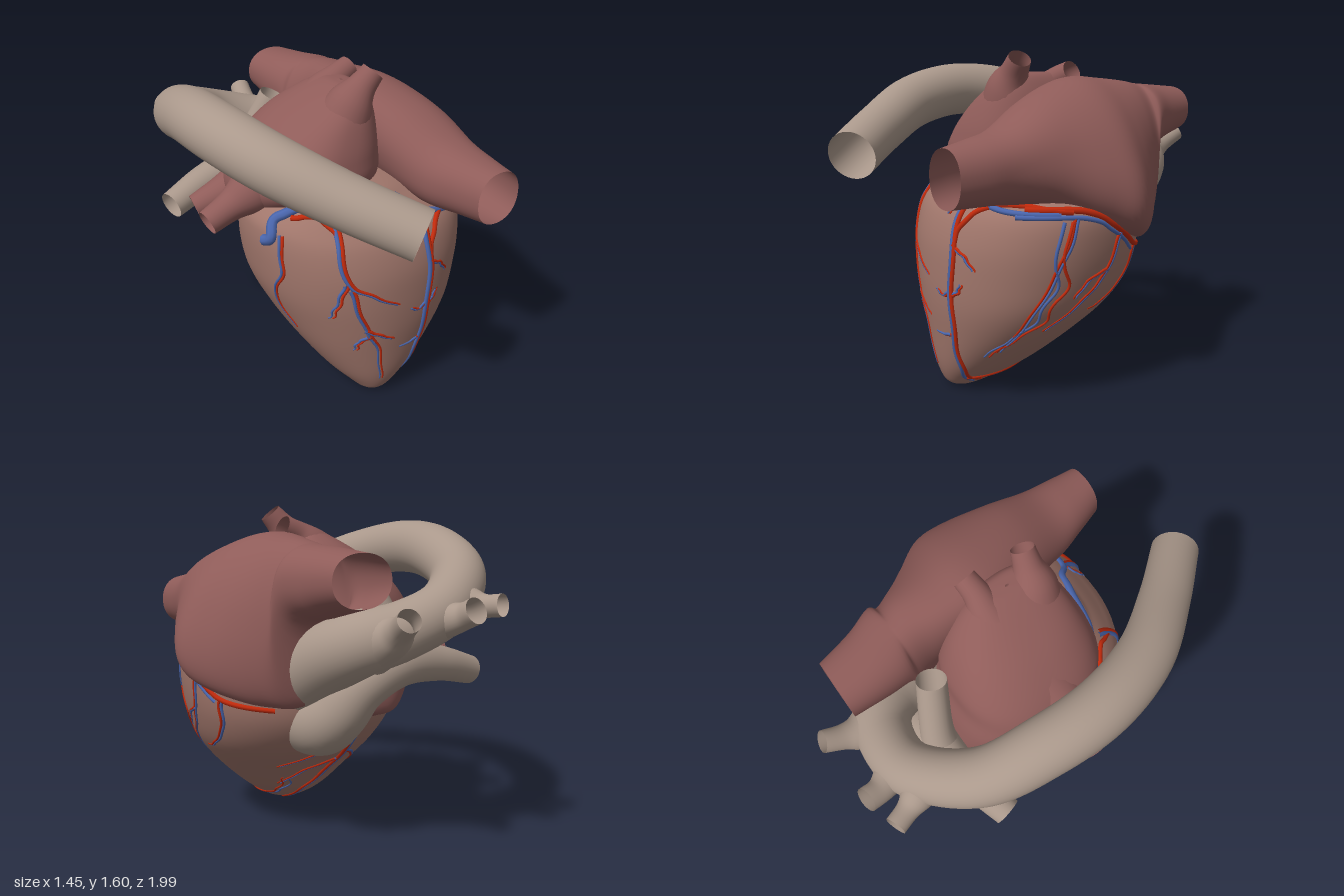
import * as THREE from 'three';

const V = (x, y, z) => new THREE.Vector3(x, y, z);
const mat = (color) => new THREE.MeshStandardMaterial({ color, side: THREE.DoubleSide });
const MUSCLE = mat(0xa0766b), ATRIUM = mat(0x8f5c59), VESSEL = mat(0xaa988b);
const RED = mat(0xc22a0c), BLUE = mat(0x4a66ad);

// Smooth skin over rings { c, u, v }: centre and two half-axes; power > 2 squares the ring
function skin(name, rings, material, sides, power = 2) {
  const pos = [], index = [];
  const bend = (a) => Math.sign(a) * Math.abs(a) ** (2 / power);
  for (const { c, u, v } of rings) {
    for (let j = 0; j < sides; j++) {
      const a = (j / sides) * Math.PI * 2;
      const p = c.clone().addScaledVector(u, bend(Math.cos(a))).addScaledVector(v, bend(Math.sin(a)));
      pos.push(p.x, p.y, p.z);
    }
  }
  for (let i = 0; i < rings.length - 1; i++) {
    for (let j = 0; j < sides; j++) {
      const k = (j + 1) % sides, a = i * sides, b = a + sides;
      index.push(a + j, b + j, a + k, a + k, b + j, b + k);
    }
  }
  const geo = new THREE.BufferGeometry();
  geo.setAttribute('position', new THREE.Float32BufferAttribute(pos, 3));
  geo.setIndex(index);
  geo.computeVertexNormals();
  const mesh = new THREE.Mesh(geo, material);
  mesh.name = name;
  return mesh;
}

// Chambers: sections are smoothed along their length
function loft(name, sections, material, power) {
  const curve = (key) => new THREE.CatmullRomCurve3(sections.map((s) => s[key]), false, 'catmullrom', 0.5);
  const c = curve('c'), u = curve('u'), v = curve('v'), n = sections.length * 5;
  const rings = Array.from({ length: n + 1 }, (_, i) => ({
    c: c.getPoint(i / n), u: u.getPoint(i / n), v: v.getPoint(i / n),
  }));
  return skin(name, rings, material, 64, power);
}

// Horizontal section from its limits
const level = ([y, x0, x1, z0, z1]) => ({
  c: V((x0 + x1) / 2, y, (z0 + z1) / 2), u: V((x1 - x0) / 2, 0, 0), v: V(0, 0, (z1 - z0) / 2),
});
// Upright section from its limits, leaning outwards at the bottom
const upright = ([z, x0, x1, y0, y1, lean]) => ({
  c: V((x0 + x1) / 2, (y0 + y1) / 2, z), u: V((x1 - x0) / 2, 0, 0), v: V(-lean, (y1 - y0) / 2, 0),
});

// Tube through points [x, y, z, radius]
function tube(name, pts, material, n = 24, sides = 24) {
  const path = new THREE.CatmullRomCurve3(pts.map((p) => V(p[0], p[1], p[2])), false, 'catmullrom', 0.5);
  const width = new THREE.CatmullRomCurve3(pts.map((p) => V(p[3], 0, 0)), false, 'catmullrom', 0.5);
  const f = path.computeFrenetFrames(n);
  const rings = Array.from({ length: n + 1 }, (_, i) => {
    const r = width.getPoint(path.getUtoTmapping(i / n)).x;
    return {
      c: path.getPointAt(i / n),
      u: f.binormals[i].clone().multiplyScalar(r),
      v: f.normals[i].clone().multiplyScalar(r),
    };
  });
  return skin(name, rings, material, sides);
}

export function createModel() {
  const heart = new THREE.Group();
  heart.name = 'heart';

  // Ventricles
  const ventricles = loft('ventricles', [
    [0, -0.015, 0.015, 0.43, 0.46], [0.015, -0.07, 0.07, 0.35, 0.52], [0.06, -0.12, 0.14, 0.22, 0.555],
    [0.15, -0.2, 0.26, 0.07, 0.585], [0.3, -0.3, 0.42, -0.1, 0.61], [0.45, -0.38, 0.54, -0.27, 0.63],
    [0.6, -0.44, 0.6, -0.37, 0.635], [0.75, -0.465, 0.63, -0.39, 0.625], [0.88, -0.47, 0.63, -0.36, 0.585],
    [0.96, -0.45, 0.58, -0.3, 0.52], [1.03, -0.37, 0.43, -0.25, 0.45], [1.08, -0.24, 0.22, -0.15, 0.38],
    [1.1, -0.05, 0.02, 0, 0.15],
  ].map(level), MUSCLE, 2.15);
  heart.add(ventricles);

  // Atria
  heart.add(loft('leftAtrium', [
    [0.79, 0.3, 0.54, 0.965, 1.22, 0], [0.65, 0.25, 0.55, 0.96, 1.245, 0], [0.5, 0.2, 0.56, 0.95, 1.28, 0],
    [0.3, 0.15, 0.6, 0.93, 1.38, 0.05], [0.1, 0.13, 0.65, 0.86, 1.45, 0.13],
    [-0.05, 0.14, 0.66, 0.79, 1.48, 0.17], [-0.2, 0.12, 0.59, 0.73, 1.47, 0.13],
    [-0.34, 0.09, 0.5, 0.7, 1.455, 0.06], [-0.43, 0.05, 0.44, 0.74, 1.44, 0.02],
    [-0.47, 0.04, 0.42, 1.06, 1.435, 0], [-0.6, 0.03, 0.36, 1.13, 1.425, 0], [-0.78, 0.03, 0.31, 1.18, 1.41, 0],
  ].map(upright), ATRIUM, 2.2));
  heart.add(loft('rightAtrium', [
    [0.61, -0.15, -0.13, -0.36, -0.34], [0.65, -0.26, -0.04, -0.43, -0.24], [0.78, -0.36, 0.08, -0.44, -0.03],
    [0.95, -0.45, 0.2, -0.41, 0.2], [1.08, -0.46, 0.22, -0.37, 0.35], [1.2, -0.4, 0.22, -0.35, 0.35],
    [1.33, -0.27, 0.2, -0.28, 0.31], [1.43, -0.12, 0.17, -0.18, 0.26], [1.49, 0, 0.13, -0.08, 0.2],
    [1.5, 0.06, 0.07, 0.05, 0.07],
  ].map(level), ATRIUM, 2.4));

  // Veins entering the right atrium
  [
    [[0, 1.33, 0.16, 0.14], [0.04, 1.43, 0.18, 0.11], [0.09, 1.5, 0.19, 0.07], [0.145, 1.565, 0.2, 0.055]],
    [[0, 1.36, -0.05, 0.12], [0.06, 1.42, -0.06, 0.09], [0.12, 1.465, -0.06, 0.065], [0.2, 1.5, -0.07, 0.055]],
    [[-0.25, 1.12, 0.02, 0.18], [-0.42, 1.05, 0.04, 0.12], [-0.53, 1.0, 0.04, 0.075], [-0.66, 0.95, 0.05, 0.06]],
    [[-0.28, 0.98, -0.2, 0.15], [-0.42, 0.93, -0.23, 0.09], [-0.58, 0.87, -0.26, 0.06]],
  ].forEach((p) => heart.add(tube('atrialVein', p, ATRIUM)));

  // Great artery with its arch and three branches
  heart.add(tube('aorta', [
    [0.22, 0.74, -0.2, 0.15], [0.18, 0.9, -0.41, 0.165], [0.1, 1.01, -0.62, 0.148],
    [-0.06, 1.07, -0.715, 0.13], [-0.29, 1.16, -0.7, 0.125], [-0.51, 1.28, -0.49, 0.13],
    [-0.58, 1.37, -0.2, 0.135], [-0.585, 1.39, 0.1, 0.135], [-0.5, 1.34, 0.4, 0.13],
    [-0.32, 1.24, 0.68, 0.12], [-0.125, 1.145, 0.93, 0.114],
  ], VESSEL, 80, 36));
  [
    [[0.05, 1.01, -0.66, 0.13], [0.03, 1.06, -0.79, 0.09], [0.04, 1.1, -0.87, 0.06], [0.06, 1.15, -0.96, 0.052]],
    [[-0.18, 1.1, -0.68, 0.12], [-0.24, 1.12, -0.8, 0.08], [-0.27, 1.14, -0.87, 0.06], [-0.28, 1.17, -0.94, 0.058]],
    [[-0.33, 1.17, -0.63, 0.12], [-0.39, 1.17, -0.75, 0.08], [-0.42, 1.17, -0.82, 0.053], [-0.45, 1.18, -0.9, 0.05]],
  ].forEach((p) => heart.add(tube('archBranch', p, VESSEL)));

  // Lung artery and its fork
  heart.add(tube('pulmonaryTrunk', [
    [0.15, 0.58, -0.1, 0.15], [0.13, 0.6, -0.33, 0.155], [0.1, 0.67, -0.45, 0.135],
    [0.02, 0.8, -0.51, 0.122], [-0.16, 0.89, -0.53, 0.11], [-0.4, 0.87, -0.5, 0.085], [-0.63, 0.81, -0.44, 0.07],
  ], VESSEL, 56, 32));
  heart.add(tube('pulmonaryBranch',
    [[-0.22, 0.86, -0.52, 0.1], [-0.15, 1.0, -0.5, 0.08], [-0.03, 1.29, -0.42, 0.07]], VESSEL));

  // Coronary vessels: flat paths projected onto the ventricles from one direction
  ventricles.updateMatrixWorld(true);
  const ray = new THREE.Raycaster();
  const from = {
    front: (a, y) => [V(a, y, 3), V(0, 0, -1)],
    back: (a, y) => [V(a, y, -3), V(0, 0, 1)],
    left: (a, y) => [V(3, y, a), V(-1, 0, 0)],
    right: (a, y) => [V(-3, y, a), V(1, 0, 0)],
  };
  function coronary(side, path, r0, r1, material, shift = 0) {
    const n = 6 * path.length, pts = [];
    new THREE.SplineCurve(path.map((p) => new THREE.Vector2(...p))).getPoints(n).forEach((p, i) => {
      ray.set(...from[side](p.x + shift + 0.004 * Math.sin(i * 0.9), p.y));
      const hit = ray.intersectObject(ventricles)[0];
      if (hit) pts.push([...hit.point.toArray(), r0 + (r1 - r0) * (i / n)]);
    });
    if (pts.length > 2) heart.add(tube('coronaryVessel', pts, material, pts.length * 2, 8));
  }
  const pair = (side, path, r0 = 0.009, r1 = 0.004) => {
    coronary(side, path, r0, r1, RED, 0.007);
    coronary(side, path, r0, r1, BLUE, -0.007);
  };

  // Ring around the top of the ventricles
  coronary('front', [[-0.46, 0.88], [-0.4, 0.99], [-0.25, 1.05], [-0.05, 1.075], [0.1, 1.045], [0.2, 0.97],
    [0.4, 0.92], [0.58, 0.91]], 0.028, 0.012, BLUE);
  coronary('front', [[-0.36, 1.0], [-0.27, 1.01], [-0.23, 0.95]], 0.014, 0.011, RED);
  coronary('front', [[0.2, 0.75], [0.23, 0.85], [0.32, 0.93], [0.45, 0.945], [0.59, 0.92]], 0.012, 0.015, RED);
  coronary('left', [[0.42, 0.93], [0.2, 0.92], [0.05, 0.85], [-0.15, 0.72], [-0.33, 0.68]], 0.017, 0.012, RED);
  coronary('left', [[0.46, 0.9], [0.2, 0.89], [0.05, 0.82], [-0.12, 0.7]], 0.013, 0.008, BLUE);

  // Front branches
  pair('front', [[0.19, 0.97], [0.2, 0.75], [0.18, 0.4], [0.15, 0.15], [0.12, 0.05]], 0.014, 0.008);
  pair('front', [[-0.22, 1.02], [-0.23, 0.76], [-0.12, 0.66], [0.01, 0.58]], 0.013);
  [
    [[-0.23, 0.73], [-0.26, 0.62], [-0.28, 0.54]],
    [[-0.21, 0.7], [-0.15, 0.5], [-0.07, 0.33], [-0.03, 0.12]],
    [[-0.14, 0.46], [-0.07, 0.42], [0, 0.38]],
    [[-0.12, 0.42], [-0.16, 0.39], [-0.17, 0.34]],
    [[0.21, 0.74], [0.27, 0.71], [0.32, 0.65]],
    [[0.19, 0.54], [0.14, 0.51], [0.09, 0.53]],
    [[0.19, 0.52], [0.23, 0.54], [0.25, 0.58]],
    [[0.16, 0.32], [0.11, 0.31], [0.05, 0.31]],
    [[0.18, 0.96], [0.13, 0.93], [0.12, 0.88]],
    [[0.6, 0.88], [0.58, 0.62], [0.5, 0.43], [0.38, 0.31], [0.27, 0.22]],
  ].forEach((p) => pair('front', p));

  // Branches on the flanks
  [
    [[0.24, 0.9], [0.31, 0.7], [0.4, 0.45], [0.46, 0.25]],
    [[0, 0.8], [0.07, 0.62], [0.17, 0.5], [0.31, 0.36]],
    [[0.06, 0.64], [0.16, 0.6], [0.22, 0.52]],
    [[-0.15, 0.71], [-0.1, 0.56], [0.03, 0.46], [0.1, 0.44]],
    [[0.5, 0.07], [0.25, 0.09], [0.1, 0.15], [-0.03, 0.25]],
  ].forEach((p) => pair('left', p));
  pair('right', [[0.3, 0.93], [0.32, 0.75], [0.25, 0.58], [0.3, 0.4]]);

  // Back branches
  pair('back', [[-0.05, 0.7], [-0.07, 0.5], [-0.04, 0.3], [0.02, 0.15], [0.04, 0.04]], 0.014, 0.007);
  pair('back', [[-0.06, 0.42], [-0.16, 0.36], [-0.22, 0.28]]);
  pair('back', [[-0.04, 0.36], [0.1, 0.3], [0.18, 0.2]]);
  pair('back', [[-0.06, 0.48], [0.1, 0.42], [0.25, 0.34]]);

  return heart;
}
